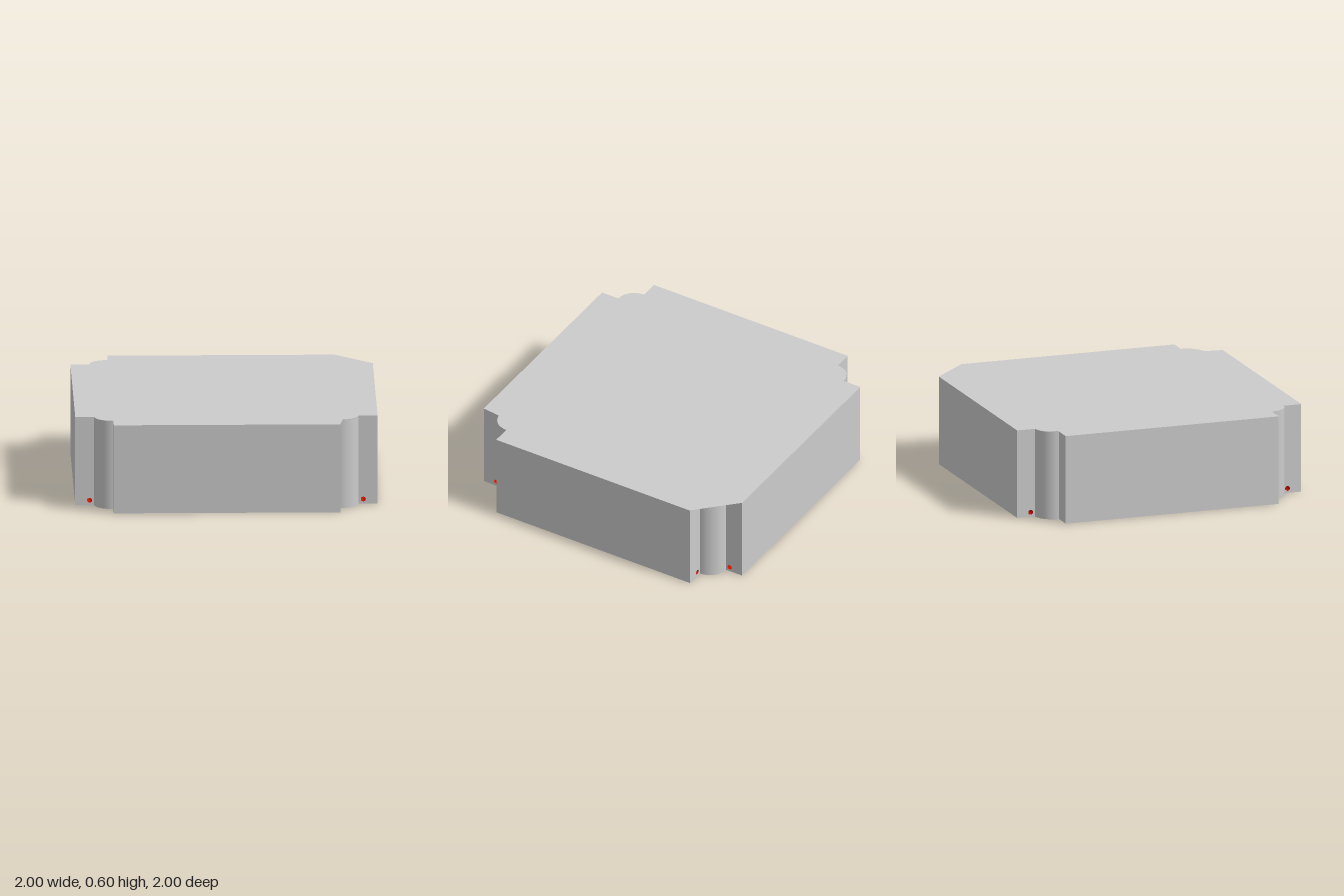
import * as THREE from 'three';

const H = 0.6, INNER = 0.8, NOTCH = 0.75, R = 0.125, STEPS = 12;
const HOLE_X = 0.905, HOLE_Y = 0.03, HOLE_R = 0.017;

const mat = (color, double = false) => new THREE.MeshStandardMaterial({
  color, side: double ? THREE.DoubleSide : THREE.FrontSide,
});

export function createModel() {
  const group = new THREE.Group();
  const grey = mat(0xcccccc), greyThin = mat(0xcccccc, true);
  const red = mat(0xcc1100, true), black = mat(0x040404, true);

  const add = (name, geometry, material, parent = group) => {
    const mesh = new THREE.Mesh(geometry, material);
    mesh.name = name;
    parent.add(mesh);
    return mesh;
  };

  // Lid outline in x and z: three notched corners with a round post, one bevelled corner
  const outline = [];
  for (let k = 0; k < 4; k++) {
    const a = k * Math.PI / 2, c = Math.cos(a), s = Math.sin(a);
    const put = (x, z) => outline.push(new THREE.Vector2(x * c - z * s, x * s + z * c));
    put(1, NOTCH);
    if (k < 3) {
      const last = k === 0 ? STEPS - 1 : STEPS;
      for (let i = 0; i <= last; i++) {
        const t = i / STEPS * Math.PI / 2;
        put(NOTCH + R * Math.cos(t), NOTCH + R * Math.sin(t));
      }
    }
    put(NOTCH, 1);
  }
  const lid = new THREE.ShapeGeometry(new THREE.Shape(outline.map(p => new THREE.Vector2(p.x, -p.y))));
  lid.rotateX(-Math.PI / 2);
  add('lid', lid, greyThin).position.y = H;

  // Ceiling of the open cavity underneath
  const ceiling = add('cavityCeiling', new THREE.PlaneGeometry(2 * INNER, 2 * INNER), greyThin);
  ceiling.rotation.x = Math.PI / 2;
  ceiling.position.y = 0.35;

  // Thick wall section with a cable hole along its length
  const section = new THREE.Shape([
    new THREE.Vector2(INNER, 0), new THREE.Vector2(1, 0),
    new THREE.Vector2(1, H - 0.002), new THREE.Vector2(INNER, H - 0.002),
  ]);
  section.holes.push(new THREE.Path().absarc(HOLE_X, HOLE_Y, HOLE_R, 0, Math.PI * 2, true));
  const wallGeo = new THREE.ExtrudeGeometry(section, {
    depth: 2 * NOTCH, bevelEnabled: false, curveSegments: 16,
  });
  wallGeo.translate(0, 0, -NOTCH);
  const liningGeo = new THREE.CylinderGeometry(HOLE_R - 0.001, HOLE_R - 0.001, 2 * NOTCH, 24, 1, true);
  liningGeo.rotateX(Math.PI / 2);
  const postGeo = new THREE.CylinderGeometry(R, R, H - 0.002, 4 * STEPS, 1, true);

  // One of four triangular panels, trimmed around the centre hole and posts
  const slit = 0.013, rc = 0.08, edge = 0.77;
  const panel = new THREE.Shape();
  const a0 = Math.PI / 4 - Math.asin(slit / rc);
  panel.absarc(0, 0, rc, -a0, a0, false);
  panel.lineTo(0.665, 0.645);
  panel.lineTo(edge, 0.622);
  panel.lineTo(edge, -0.622);
  panel.lineTo(0.665, -0.645);
  panel.closePath();
  const panelGeo = new THREE.ShapeGeometry(panel, 10);
  panelGeo.rotateX(-Math.PI / 2);

  // Repeat wall, hole lining, corner post and panel on all four sides
  for (let k = 0; k < 4; k++) {
    const side = new THREE.Group();
    side.name = 'side' + (k + 1);
    side.rotation.y = k * Math.PI / 2;
    group.add(side);
    add('wall', wallGeo, grey, side);
    add('holeLining', liningGeo, red, side).position.set(HOLE_X, HOLE_Y, 0);
    add('cornerPost', postGeo, greyThin, side).position.set(NOTCH, (H - 0.002) / 2, NOTCH);
    add('bottomPanel', panelGeo, black, side).position.y = 0.006;
    // The right wall's hole is closed at the back
    if (k === 2) {
      add('holeEnd', new THREE.CircleGeometry(HOLE_R, 24), greyThin, side)
        .position.set(HOLE_X, HOLE_Y, NOTCH);
    }
  }
  return group;
}
